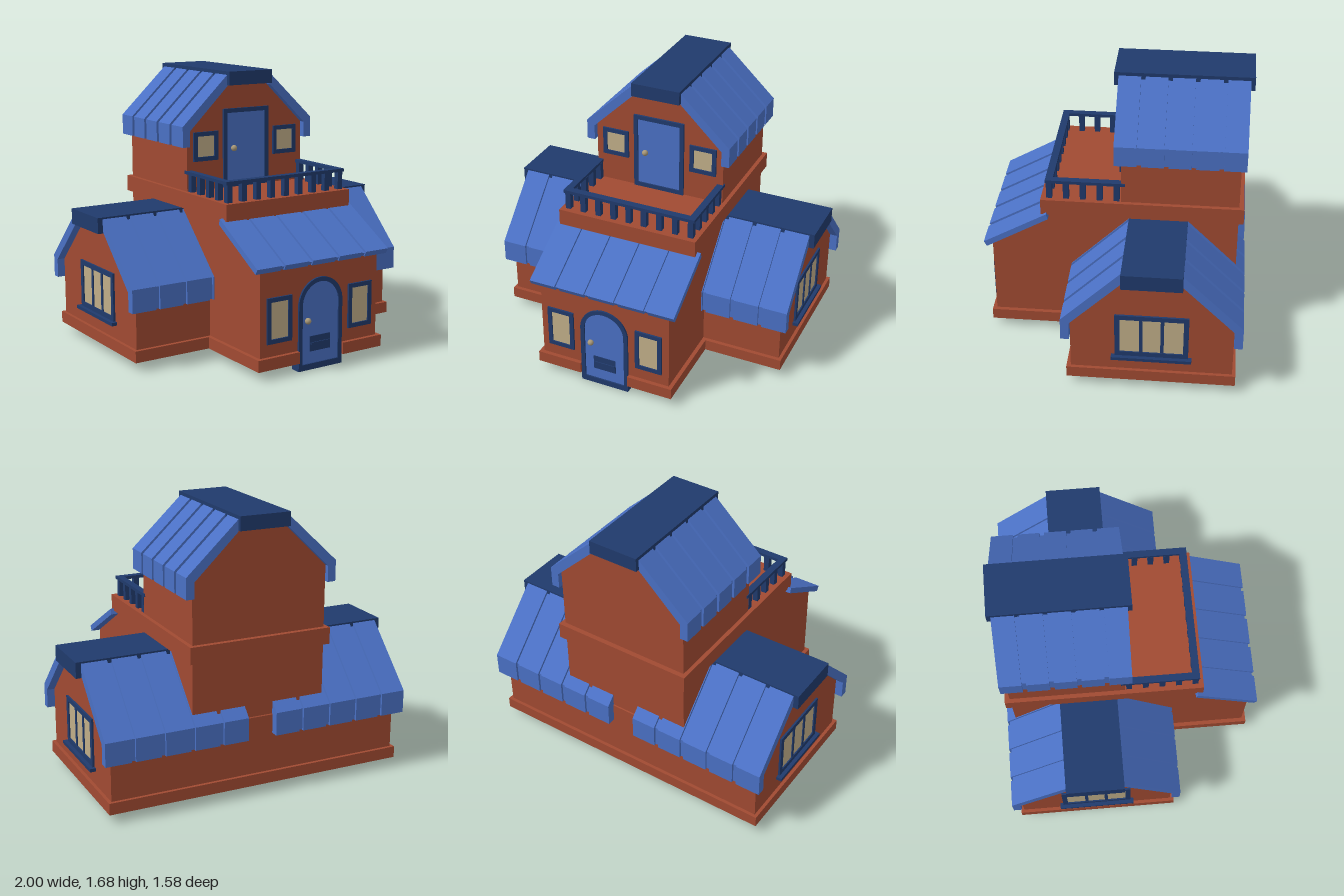
import * as THREE from 'three';

const material = (name, color) => {
  const m = new THREE.MeshStandardMaterial({ color });
  m.name = name;
  return m;
};

export function createModel() {
  const brick = material('brick red', 0xa04a32);
  const blue = material('roof blue', 0x4a70c4);
  const navy = material('navy trim', 0x203a6c);
  const glass = material('window cream', 0xc0ae88);
  const brass = material('knob brass', 0xa89878);

  const house = new THREE.Group();
  house.name = 'house';

  const add = (parent, name, geometry, mat) => {
    const mesh = new THREE.Mesh(geometry, mat);
    mesh.name = name;
    parent.add(mesh);
    return mesh;
  };
  const group = (name, parent = house) => {
    const g = new THREE.Group();
    g.name = name;
    parent.add(g);
    return g;
  };
  // Box given by its limits on each axis
  const box = (parent, name, mat, [x0, x1], [y0, y1], [z0, z1]) =>
    add(parent, name, new THREE.BoxGeometry(x1 - x0, y1 - y0, z1 - z0)
      .translate((x0 + x1) / 2, (y0 + y1) / 2, (z0 + z1) / 2), mat);
  const polygon = (points) => new THREE.Shape(points.map(([x, y]) => new THREE.Vector2(x, y)));
  const extrude = (shape, depth) =>
    new THREE.ExtrudeGeometry(shape, { depth, bevelEnabled: false, curveSegments: 12 });
  // Profile in (x, y) extruded from z0 to z1
  const prismZ = (points, z0, z1) => extrude(polygon(points), z1 - z0).translate(0, 0, z0);
  // Profile in (z, y) extruded from x0 to x1
  const prismX = (points, x0, x1) =>
    extrude(polygon(points), x1 - x0).rotateY(-Math.PI / 2).translate(x1, 0, 0);

  // Five raised roof panels over a thinner sheet that shows in the seams
  const panelRoof = (parent, prism, outer, inner, from, to) => {
    add(parent, 'roofSeams', prism(inner, from + 0.003, to - 0.003), blue);
    const seam = 0.026;
    const width = (to - from - 4 * seam) / 5;
    for (let i = 0; i < 5; i++) {
      const start = from + i * (width + seam);
      add(parent, 'roofPanel', prism(outer, start, start + width), blue);
    }
  };

  // Ground floor: deep central block with a sloping front shoulder
  add(house, 'centralBlock', prismX([
    [-0.73, 0.05], [0.745, 0.05], [0.745, 0.64], [0.42, 0.83], [0.42, 0.87], [-0.73, 0.87],
  ], -0.42, 0.42), brick);

  // Side wings with matching gable ends
  const wingZ = -0.26;
  add(house, 'sideWings', prismX([
    [-0.475, 0.05], [0.475, 0.05], [0.475, 0.475], [0.175, 0.775], [-0.175, 0.775], [-0.475, 0.475],
  ].map(([z, y]) => [z + wingZ, y]), -0.92, 0.92), brick);

  // Plinth, left open at the front door
  const plinth = group('plinth');
  const plinthY = [0.055, 0.125];
  box(plinth, 'wingPlinth', brick, [-0.94, 0.94], plinthY, [-0.755, 0.24]);
  box(plinth, 'centralPlinth', brick, [-0.445, 0.445], plinthY, [-0.75, 0.74]);
  box(plinth, 'frontPlinthRight', brick, [-0.445, -0.157], plinthY, [0.735, 0.77]);
  box(plinth, 'frontPlinthLeft', brick, [0.157, 0.445], plinthY, [0.735, 0.77]);

  // Upper storey on its ledge
  box(house, 'balconyLedge', brick, [-0.445, 0.445], [0.865, 0.965], [-0.76, 0.44]);
  add(house, 'upperStorey', prismZ([
    [-0.42, 0.96], [0.42, 0.96], [0.42, 1.335], [0.155, 1.59],
    [0.155, 1.62], [-0.155, 1.62], [-0.155, 1.59], [-0.42, 1.335],
  ], -0.73, -0.037), brick);

  // Wing roofs: front and back slopes on both sides
  const wingOuter = [[0.475, 0.36], [0.525, 0.36], [0.525, 0.5], [0.175, 0.85], [0.175, 0.775], [0.475, 0.475]];
  const wingInner = [[0.475, 0.363], [0.511, 0.363], [0.511, 0.494], [0.175, 0.83], [0.175, 0.775], [0.475, 0.475]];
  for (const side of [-1, 1]) {
    for (const face of [-1, 1]) {
      const roof = group('wingRoof');
      const place = (points) => points.map(([z, y]) => [face * z + wingZ, y]);
      const [from, to] = side > 0 ? [0.09, 0.968] : [-0.968, -0.09];
      panelRoof(roof, prismX, place(wingOuter), place(wingInner), from, to);
    }
  }
  box(house, 'wingRidgeCap', navy, [-1, 1], [0.765, 0.86], [-0.435, -0.085]);

  // Upper roof
  const upperOuter = [[0.42, 1.24], [0.47, 1.24], [0.47, 1.365], [0.155, 1.66], [0.155, 1.59], [0.42, 1.335]];
  const upperInner = [[0.42, 1.243], [0.456, 1.243], [0.456, 1.358], [0.155, 1.64], [0.155, 1.59], [0.42, 1.335]];
  for (const side of [-1, 1]) {
    const place = (points) => points.map(([x, y]) => [side * x, y]);
    panelRoof(group('upperRoof'), prismZ, place(upperOuter), place(upperInner), -0.76, 0.002);
  }
  box(house, 'upperRidgeCap', navy, [-0.156, 0.156], [1.597, 1.68], [-0.785, 0.027]);

  // Porch roof
  panelRoof(group('porchRoof'), prismX,
    [[0.405, 0.88], [0.79, 0.66], [0.772, 0.628], [0.395, 0.845]],
    [[0.403, 0.865], [0.778, 0.652], [0.765, 0.632], [0.395, 0.845]], -0.468, 0.468);

  // Rectangular trim with an opening, lying in the xy plane and facing +z
  const trim = (w, h, border, depth) => {
    const rect = (a, b) => [[-a, -b], [a, -b], [a, b], [-a, b]];
    const shape = polygon(rect(w / 2, h / 2));
    shape.holes.push(polygon(rect(w / 2 - border, h / 2 - border)));
    return extrude(shape, depth);
  };
  const makeWindow = (name, w, h, border) => {
    const g = group(name);
    add(g, 'windowFrame', trim(w, h, border, 0.012), navy);
    box(g, 'windowPane', glass, [-w / 2 + border, w / 2 - border], [-h / 2 + border, h / 2 - border], [-0.002, 0.004]);
    return g;
  };
  for (const side of [-1, 1]) {
    makeWindow('groundWindow', 0.172, 0.27, 0.026).position.set(side * 0.29, 0.337, 0.745);
    makeWindow('upperWindow', 0.172, 0.178, 0.026).position.set(side * 0.29, 1.232, -0.037);

    // Three-pane gable window with sill
    const gable = makeWindow('gableWindow', 0.43, 0.295, 0.03);
    for (const x of [-0.062, 0.062]) {
      box(gable, 'mullion', navy, [x - 0.01, x + 0.01], [-0.13, 0.13], [0, 0.01]);
    }
    box(gable, 'windowSill', navy, [-0.235, 0.235], [-0.166, -0.146], [0, 0.035]);
    gable.position.set(side * 0.92, 0.377, wingZ);
    gable.rotation.y = side * Math.PI / 2;
  }

  const knob = (parent, x, y, z) =>
    add(parent, 'doorKnob', new THREE.SphereGeometry(0.019, 16, 12).translate(x, y, z), brass);

  // Arched front door
  const arch = (r, bottom, spring) => {
    const s = new THREE.Shape();
    s.moveTo(-r, bottom);
    s.lineTo(r, bottom);
    s.lineTo(r, spring);
    s.absarc(0, spring, r, 0, Math.PI, false);
    s.closePath();
    return s;
  };
  const frontDoor = group('frontDoor');
  const archFrame = arch(0.156, 0.02, 0.391);
  archFrame.holes.push(arch(0.13, 0.034, 0.391));
  add(frontDoor, 'archFrame', extrude(archFrame, 0.02).translate(0, 0, 0.737), navy);
  add(frontDoor, 'doorLeaf', extrude(arch(0.13, 0.034, 0.391), 0.01).translate(0, 0, 0.738), blue);
  box(frontDoor, 'doorStep', navy, [-0.156, 0.156], [0, 0.036], [0.69, 0.757]);
  box(frontDoor, 'letterPlate', navy, [-0.074, 0.072], [0.108, 0.2], [0.746, 0.752]);
  box(frontDoor, 'letterFlap', navy, [-0.068, 0.066], [0.15, 0.162], [0.75, 0.758]);
  knob(frontDoor, -0.09, 0.295, 0.754);

  // Balcony door
  const balconyDoor = group('balconyDoor');
  add(balconyDoor, 'doorFrame', trim(0.33, 0.485, 0.026, 0.014).translate(0, 1.208, -0.037), navy);
  box(balconyDoor, 'doorLeaf', blue, [-0.139, 0.139], [0.99, 1.425], [-0.039, -0.032]);
  knob(balconyDoor, -0.09, 1.205, -0.024);

  // Balcony railing
  const railing = group('balconyRailing');
  const post = (x, z) => box(railing, 'baluster', navy,
    [x - 0.017, x + 0.017], [0.963, 1.075], [z - 0.017, z + 0.017]);
  for (let i = -4; i <= 4; i++) post(i * 0.1, 0.39);
  for (const side of [-1, 1]) {
    for (let i = 0; i < 4; i++) post(side * 0.4, 0.29 - i * 0.1);
    const x = side * 0.405;
    box(railing, 'sideRail', navy, [x - 0.021, x + 0.021], [1.072, 1.091], [-0.06, 0.37]);
  }
  box(railing, 'frontRail', navy, [-0.426, 0.426], [1.072, 1.091], [0.367, 0.411]);

  return house;
}
